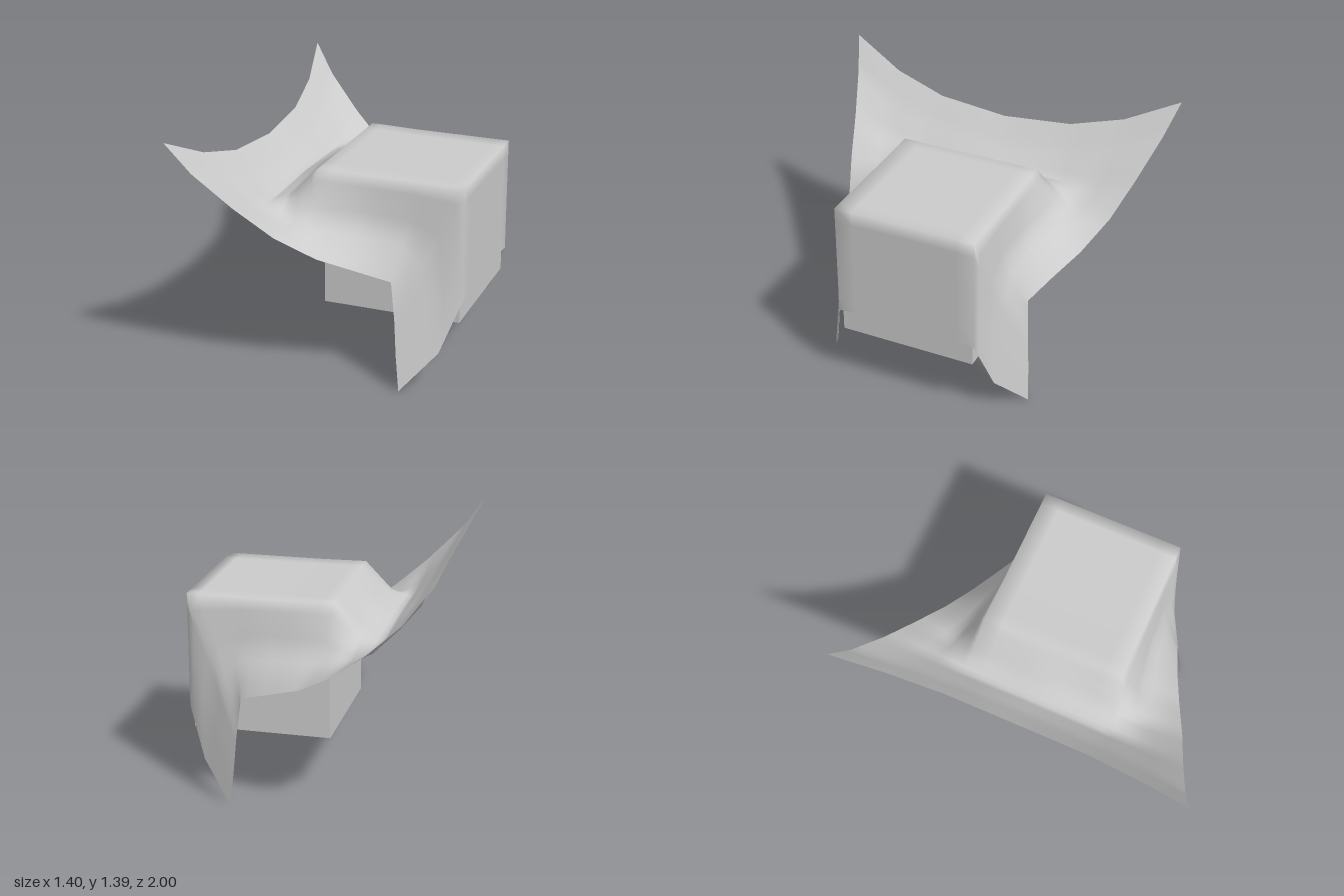
import * as THREE from 'three';

// Lines running along the cloth from the raised front hem to the hanging back hem (+z half)
const centre = [
  [-0.58, 1.135, 0], [-0.47, 1.02, 0], [-0.37, 0.94, 0], [-0.27, 1.0, 0], [-0.11, 1.13, 0],
  [0.15, 1.125, 0], [0.43, 1.125, 0], [0.7, 1.125, 0], [0.7, 0.82, 0], [0.7, 0.515, 0],
];
const shoulder = [
  [-0.59, 1.17, 0.4], [-0.49, 1.05, 0.4], [-0.37, 0.93, 0.41], [-0.26, 0.97, 0.41], [-0.11, 1.13, 0.4],
  [0.15, 1.125, 0.4], [0.43, 1.125, 0.4], [0.7, 1.125, 0.4], [0.7, 0.8, 0.4], [0.7, 0.48, 0.4],
];
const flap = [
  [-0.63, 1.25, 0.7], [-0.52, 1.11, 0.67], [-0.37, 0.95, 0.63], [-0.22, 0.87, 0.58], [-0.07, 0.88, 0.51],
  [0.17, 0.87, 0.46], [0.4, 0.85, 0.44], [0.54, 0.76, 0.45], [0.58, 0.48, 0.46], [0.6, 0.2, 0.475],
];
const hem = [
  [-0.7, 1.39, 1], [-0.58, 1.22, 0.945], [-0.39, 1.03, 0.87], [-0.2, 0.87, 0.8], [0, 0.745, 0.71],
  [0.18, 0.675, 0.63], [0.36, 0.61, 0.56], [0.385, 0.4, 0.575], [0.4, 0.2, 0.59], [0.42, 0, 0.6],
];

const mirror = (line) => line.map(([x, y, z]) => [x, y, -z]);

// Straight-sided grid through the lines, finely divided so soft shading stays near the folds
function drapedCloth(lines, div) {
  const nu = (lines[0].length - 1) * div, nv = (lines.length - 1) * div;
  const positions = [], index = [];
  const point = (line, row) => new THREE.Vector3(...lines[line][row]);
  for (let i = 0; i <= nu; i++) {
    const r = Math.min(Math.floor(i / div), lines[0].length - 2), fu = i / div - r;
    for (let j = 0; j <= nv; j++) {
      const c = Math.min(Math.floor(j / div), lines.length - 2), fv = j / div - c;
      const a = point(c, r).lerp(point(c, r + 1), fu);
      const b = point(c + 1, r).lerp(point(c + 1, r + 1), fu);
      positions.push(...a.lerp(b, fv).toArray());
      if (i < nu && j < nv) {
        const k = i * (nv + 1) + j, n = k + nv + 1;
        index.push(k, k + 1, n, k + 1, n + 1, n);
      }
    }
  }
  const geometry = new THREE.BufferGeometry();
  geometry.setAttribute('position', new THREE.Float32BufferAttribute(positions, 3));
  geometry.setIndex(index);
  geometry.computeVertexNormals();
  return geometry;
}

export function createModel() {
  const model = new THREE.Group();

  // Block under the cloth
  const block = new THREE.Mesh(
    new THREE.BoxGeometry(0.77, 0.765, 0.77),
    new THREE.MeshStandardMaterial({ color: 0xcccccc }),
  );
  block.position.set(0.298, 0.7355, 0);
  block.name = 'block';

  // Square cloth with two raised corners
  const cloth = new THREE.Mesh(
    drapedCloth([mirror(hem), mirror(flap), mirror(shoulder), centre, shoulder, flap, hem], 4),
    new THREE.MeshStandardMaterial({ color: 0xcccccc, side: THREE.DoubleSide }),
  );
  cloth.name = 'cloth';

  model.add(block, cloth);
  return model;
}
